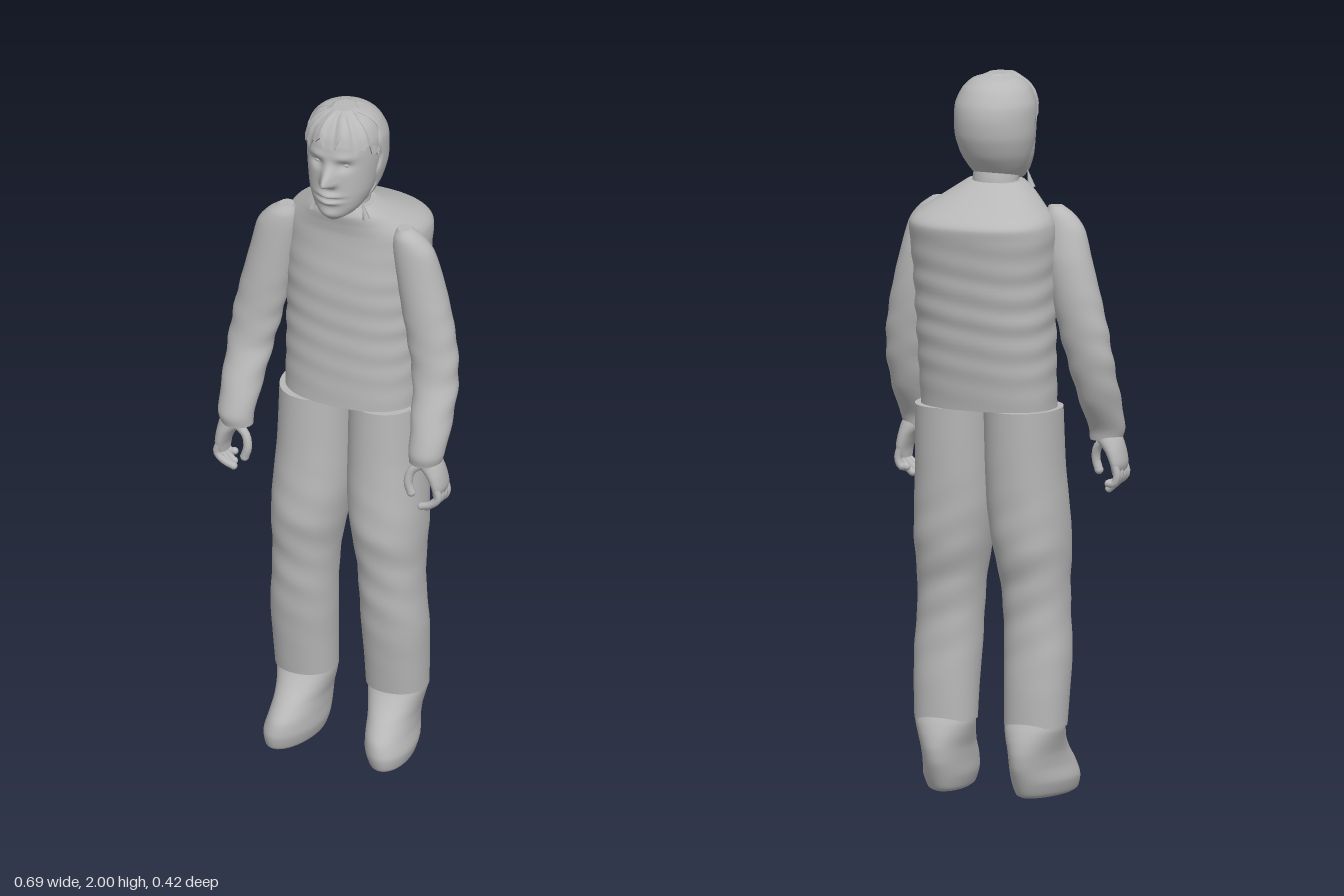
import * as THREE from 'three';

const grey = new THREE.MeshStandardMaterial({ color: 0xb8b8b8 });
grey.name = 'plain grey';

// Closed loft through horizontal sections [y, centreX, halfWidth, backZ, frontZ], listed bottom to top.
function loft(name, sections, { side = 1, power = 2, seg = 40, rows = 40, shape } = {}) {
  const a = new THREE.CatmullRomCurve3(sections.map(s => new THREE.Vector3(s[1] * side, s[0], s[2])), false, 'catmullrom', 0.4);
  const b = new THREE.CatmullRomCurve3(sections.map(s => new THREE.Vector3(s[3], s[4], 0)), false, 'catmullrom', 0.4);
  const pos = [], idx = [];
  const bend = c => Math.sign(c) * Math.pow(Math.abs(c), 2 / power);
  for (let i = 0; i <= rows; i++) {
    const p = a.getPoint(i / rows), q = b.getPoint(i / rows);
    for (let j = 0; j < seg; j++) {
      const t = j / seg * Math.PI * 2;
      const v = new THREE.Vector3(p.x + p.z * bend(Math.cos(t)), p.y,
        (q.x + q.y) / 2 + (q.y - q.x) / 2 * bend(Math.sin(t)));
      if (shape) shape(v, t, i / rows);
      pos.push(v.x, v.y, v.z);
      if (i < rows) {
        const k = i * seg + j, n = i * seg + (j + 1) % seg;
        idx.push(k, k + seg, n, n, k + seg, n + seg);
      }
    }
  }
  // end caps with their own corners, so the rims stay crisp
  for (const row of [0, rows]) {
    const base = pos.length / 3, mid = [0, 0, 0];
    for (let j = 0; j < seg; j++) for (let c = 0; c < 3; c++) {
      const w = pos[(row * seg + j) * 3 + c];
      pos.push(w);
      mid[c] += w / seg;
    }
    pos.push(...mid);
    for (let j = 0; j < seg; j++) {
      const n = base + (j + 1) % seg;
      if (row) idx.push(base + seg, n, base + j); else idx.push(base + seg, base + j, n);
    }
  }
  const g = new THREE.BufferGeometry();
  g.setAttribute('position', new THREE.Float32BufferAttribute(pos, 3));
  g.setIndex(idx);
  g.computeVertexNormals();
  return named(name, g);
}

function named(name, geometry) {
  const m = new THREE.Mesh(geometry, grey);
  m.name = name;
  return m;
}

function ball(name, x, y, z, rx, ry, rz) {
  const m = named(name, new THREE.SphereGeometry(1, 20, 14));
  m.position.set(x, y, z);
  m.scale.set(rx, ry, rz);
  return m;
}

// Rounded finger along a bent path
function finger(name, points, r) {
  const g = new THREE.Group();
  g.name = name;
  const path = new THREE.CatmullRomCurve3(points.map(p => new THREE.Vector3(...p)));
  g.add(named('fingerLength', new THREE.TubeGeometry(path, 10, r, 10)));
  g.add(ball('fingertip', ...points[points.length - 1], r, r, r));
  return g;
}

const bump = (d, w) => Math.exp(-(d * d) / (w * w));

function makeHead() {
  const head = new THREE.Group();
  head.name = 'head';
  // face with brow, sockets, nose, lips and chin pushed out of the loft
  head.add(loft('face', [
    [1.688, 0, 0.022, 0.07, 0.145], [1.705, 0, 0.05, 0.03, 0.158], [1.73, 0, 0.071, 0, 0.163],
    [1.77, 0, 0.088, -0.03, 0.164], [1.82, 0, 0.098, -0.06, 0.163], [1.87, 0, 0.104, -0.07, 0.16],
    [1.92, 0, 0.104, -0.065, 0.156], [1.96, 0, 0.09, -0.045, 0.138], [1.983, 0, 0.066, -0.01, 0.112],
    [1.994, 0, 0.025, 0.03, 0.07]
  ], {
    seg: 112, rows: 90, power: 2.1, shape: v => {
      if (v.z < 0.07) return;
      const x = Math.abs(v.x), y = v.y;
      v.z += 0.047 * bump(x, 0.017) * bump(y - 1.818, y > 1.818 ? 0.034 : 0.014)
        + 0.009 * bump(x - 0.016, 0.009) * bump(y - 1.809, 0.01)
        + 0.006 * bump(x - 0.04, 0.03) * bump(y - 1.889, 0.012)
        - 0.013 * bump(x - 0.04, 0.02) * bump(y - 1.862, 0.014)
        + 0.013 * bump(x, 0.03) * (bump(y - 1.772, 0.008) + bump(y - 1.752, 0.008))
        - 0.006 * bump(x, 0.034) * bump(y - 1.762, 0.004)
        + 0.007 * bump(x, 0.03) * bump(y - 1.712, 0.014);
    }
  }));
  for (const s of [1, -1]) {
    head.add(ball('eye', 0.04 * s, 1.862, 0.131, 0.014, 0.007, 0.012));
    // loose lock beside the collar
    const lock = named('hairLock', new THREE.ConeGeometry(0.011, 0.055, 6));
    lock.position.set(0.075 * s, 1.705, 0.09);
    lock.rotation.z = 0.25 * s;
    head.add(lock);
  }
  // back of the skull, stepping down to the face at the temples
  head.add(loft('backHair', [
    [1.715, 0, 0.06, -0.01, 0.1], [1.745, 0, 0.082, -0.036, 0.12], [1.78, 0, 0.098, -0.062, 0.13],
    [1.83, 0, 0.111, -0.082, 0.14], [1.88, 0, 0.114, -0.087, 0.15], [1.92, 0, 0.112, -0.08, 0.15],
    [1.96, 0, 0.095, -0.057, 0.14], [1.985, 0, 0.068, -0.025, 0.11], [1.997, 0, 0.026, 0.015, 0.07]
  ], { seg: 64, shape: v => { v.z = Math.min(v.z, 0.055 + 0.006 * Math.sin(v.y * 70)); } }));
  // ragged fringe over the forehead and crown
  head.add(loft('fringe', [
    [1.925, 0, 0.108, -0.05, 0.163], [1.95, 0, 0.1, -0.04, 0.155], [1.972, 0, 0.084, -0.02, 0.14],
    [1.99, 0, 0.058, 0, 0.12], [2, 0, 0.03, 0.02, 0.09]
  ], {
    seg: 72, rows: 20, shape: (v, t, h) => {
      v.y -= (1 - h) * (0.014 * Math.sin(t * 9) + 0.01 * Math.sin(t * 23) + 0.035 * Math.pow(Math.abs(Math.cos(t)), 3));
    }
  }));
  return head;
}

function makeArm(s) {
  const arm = new THREE.Group();
  arm.name = s > 0 ? 'leftArm' : 'rightArm';
  arm.add(loft('sleeve', [
    [0.985, 0.282, 0.045, 0.095, 0.176], [1.02, 0.286, 0.051, 0.085, 0.18], [1.1, 0.284, 0.058, 0.035, 0.152],
    [1.2, 0.277, 0.065, 0, 0.108], [1.3, 0.261, 0.07, -0.02, 0.095], [1.4, 0.24, 0.07, -0.03, 0.091],
    [1.5, 0.219, 0.066, -0.028, 0.086], [1.58, 0.203, 0.06, -0.012, 0.081], [1.62, 0.189, 0.043, 0, 0.074],
    [1.645, 0.177, 0.02, 0.015, 0.058]
  ], {
    side: s, rows: 60, shape: v => {
      v.x += 0.0025 * Math.sin(v.y * 75 + v.z * 25) * bump(v.y - 1.22, 0.16);
    }
  }));
  // hand hanging with slightly curled fingers
  const hand = new THREE.Group();
  hand.name = 'hand';
  hand.add(loft('palm', [
    [0.892, 0.322, 0.013, 0.1, 0.162], [0.92, 0.325, 0.02, 0.088, 0.172], [0.955, 0.314, 0.027, 0.088, 0.174],
    [0.985, 0.296, 0.038, 0.092, 0.172], [1.01, 0.285, 0.038, 0.1, 0.168]
  ], { side: s, seg: 28, rows: 16 }));
  [0.099, 0.12, 0.142, 0.161].forEach((z, i) => {
    const tip = [0.868, 0.85, 0.847, 0.858][i];
    hand.add(finger('finger', [[0.324 * s, 0.925, z], [0.332 * s, 0.89, z], [(0.322 - 0.004 * i) * s, 0.868, z],
      [(0.306 - 0.008 * i) * s, tip, z]], 0.0105));
  });
  hand.add(finger('thumb', [[0.285 * s, 0.985, 0.145], [0.25 * s, 0.96, 0.152], [0.241 * s, 0.925, 0.158],
    [0.25 * s, 0.893, 0.158]], 0.0125));
  arm.add(hand);
  return arm;
}

function makeLeg(s) {
  const leg = new THREE.Group();
  leg.name = s > 0 ? 'leftLeg' : 'rightLeg';
  leg.add(loft('trouserLeg', [
    [0.2, 0.136, 0.087, -0.08, 0.082], [0.3, 0.137, 0.09, -0.08, 0.096], [0.4, 0.136, 0.093, -0.075, 0.11],
    [0.5, 0.131, 0.09, -0.075, 0.12], [0.6, 0.126, 0.093, -0.085, 0.126], [0.7, 0.119, 0.104, -0.108, 0.138],
    [0.8, 0.111, 0.109, -0.116, 0.132], [0.92, 0.106, 0.106, -0.125, 0.122], [1.085, 0.104, 0.104, -0.135, 0.115]
  ], {
    side: s, power: 2.15, rows: 64, shape: v => {
      v.z += 0.002 * Math.sin(v.y * 60 + v.x * 30) * bump(v.y - 0.6, 0.2);
    }
  }));
  // soft boot, toes turned slightly outward
  leg.add(loft('boot', [
    [0, 0.14, 0.048, -0.05, 0.165], [0.01, 0.141, 0.06, -0.068, 0.18], [0.045, 0.141, 0.07, -0.085, 0.187],
    [0.085, 0.138, 0.067, -0.1, 0.176], [0.125, 0.137, 0.068, -0.105, 0.142], [0.16, 0.136, 0.076, -0.1, 0.108],
    [0.19, 0.136, 0.083, -0.09, 0.084], [0.215, 0.136, 0.084, -0.078, 0.07]
  ], { side: s, shape: v => { v.x += s * 0.13 * (v.z - 0.03) * (1 - v.y / 0.215); } }));
  return leg;
}

export function createModel() {
  const model = new THREE.Group();
  model.name = 'figure';
  const body = new THREE.Group();
  body.name = 'body';
  body.position.x = 0.01;
  model.add(body);
  // shirt with shallow sideways wrinkles
  body.add(loft('shirt', [
    [1.085, 0, 0.194, -0.138, 0.118], [1.2, 0, 0.195, -0.155, 0.115], [1.33, 0, 0.197, -0.172, 0.112],
    [1.46, 0, 0.2, -0.188, 0.11], [1.56, 0, 0.205, -0.202, 0.1], [1.6, 0, 0.203, -0.207, 0.098],
    [1.622, 0, 0.19, -0.188, 0.098], [1.65, 0, 0.155, -0.135, 0.102], [1.68, 0, 0.115, -0.075, 0.108],
    [1.705, 0, 0.08, -0.03, 0.1]
  ], {
    power: 2.3, seg: 64, rows: 100, shape: (v, t) => {
      const w = 1 + 0.012 * Math.sin(v.y * 85 + 1.5 * Math.sin(t * 2)) * bump(v.y - 1.34, 0.2);
      v.x *= w;
      v.z *= w;
    }
  }));
  body.add(loft('neck', [[1.66, 0, 0.066, -0.03, 0.095], [1.71, 0, 0.064, -0.03, 0.095], [1.76, 0, 0.06, -0.02, 0.1]], { rows: 10 }));
  body.add(makeHead());
  for (const s of [1, -1]) {
    body.add(makeLeg(s));
    const arm = makeArm(s);
    arm.position.x = -0.004;
    body.add(arm);
  }
  return model;
}
